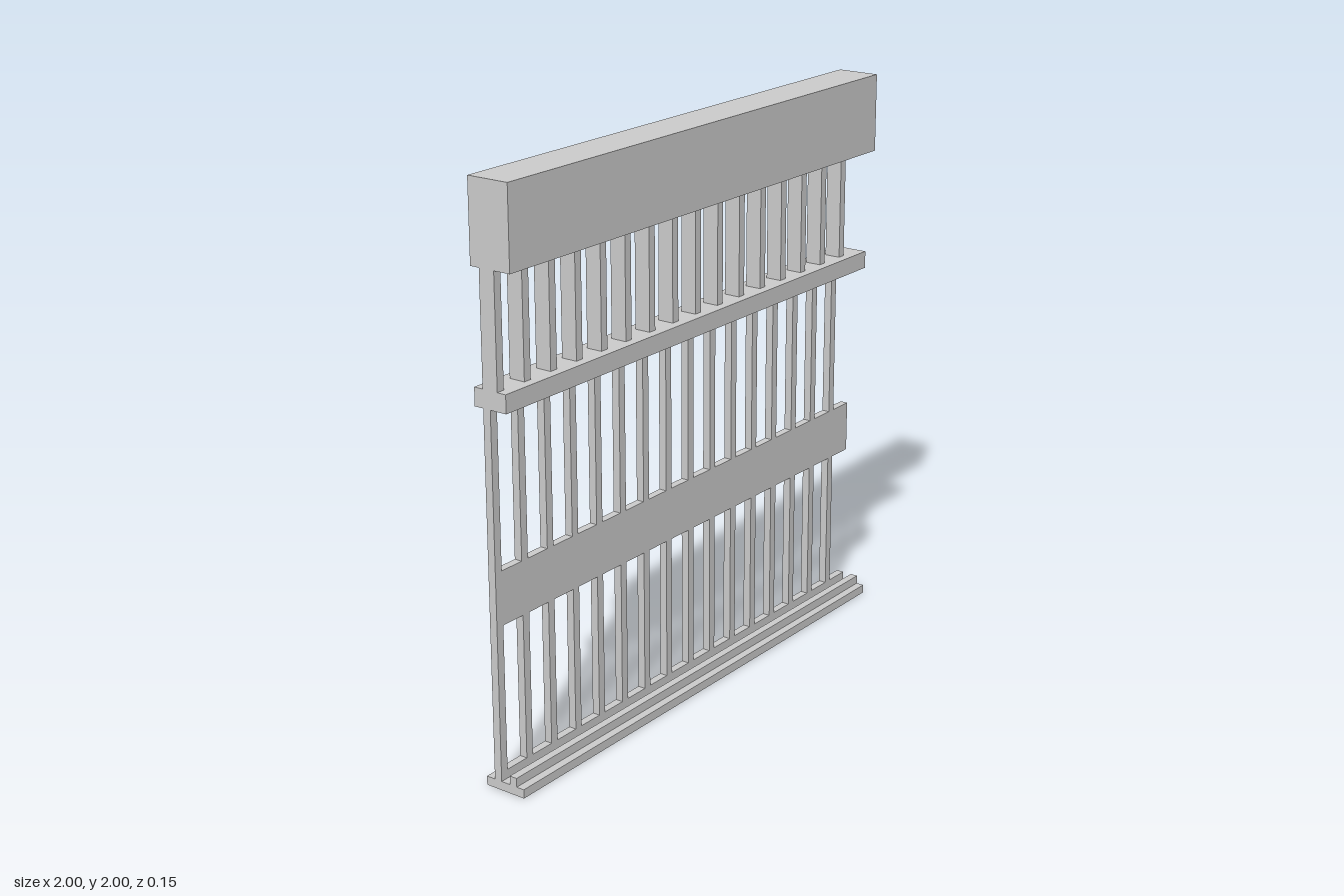
import * as THREE from 'three';

const material = new THREE.MeshStandardMaterial({ color: 0xcccccc, flatShading: true });

// Box given by its extents along each axis
function block(name, [x0, x1], [y0, y1], [z0, z1]) {
  const mesh = new THREE.Mesh(new THREE.BoxGeometry(x1 - x0, y1 - y0, z1 - z0), material);
  mesh.position.set((x0 + x1) / 2, (y0 + y1) / 2, (z0 + z1) / 2);
  mesh.name = name;
  return mesh;
}

// Row of evenly spaced uprights; the first is flush with the right end
function barRow(name, y, z) {
  const row = new THREE.Group();
  row.name = name;
  const count = 16, pitch = 0.125, width = 0.03;
  for (let i = 0; i < count; i++) {
    const x = -1 + i * pitch;
    row.add(block('bar', [x, x + width], y, z));
  }
  return row;
}

export function createModel() {
  const group = new THREE.Group();
  group.name = 'barScreen';

  const full = [-1, 1];
  const deep = [-0.077, 0.077];
  const thin = [-0.043, -0.015]; // plane shared by lower bars and middle rail

  // Sill with two raised tracks
  group.add(block('sill', full, [0, 0.031], deep));
  group.add(block('frontTrack', full, [0.031, 0.062], [0.02, 0.048]));
  group.add(block('backTrack', full, [0.031, 0.062], thin));

  // Horizontal members
  group.add(block('middleRail', full, [0.565, 0.75], thin));
  group.add(block('upperRail', full, [1.285, 1.347], [-0.077, 0.048]));
  group.add(block('topBeam', full, [1.725, 2], deep));

  // Uprights between the horizontal members
  group.add(barRow('lowerBars', [0.062, 0.565], thin));
  group.add(barRow('middleBars', [0.75, 1.285], thin));
  group.add(barRow('upperBars', [1.347, 1.725], [-0.043, 0.015]));

  return group;
}
